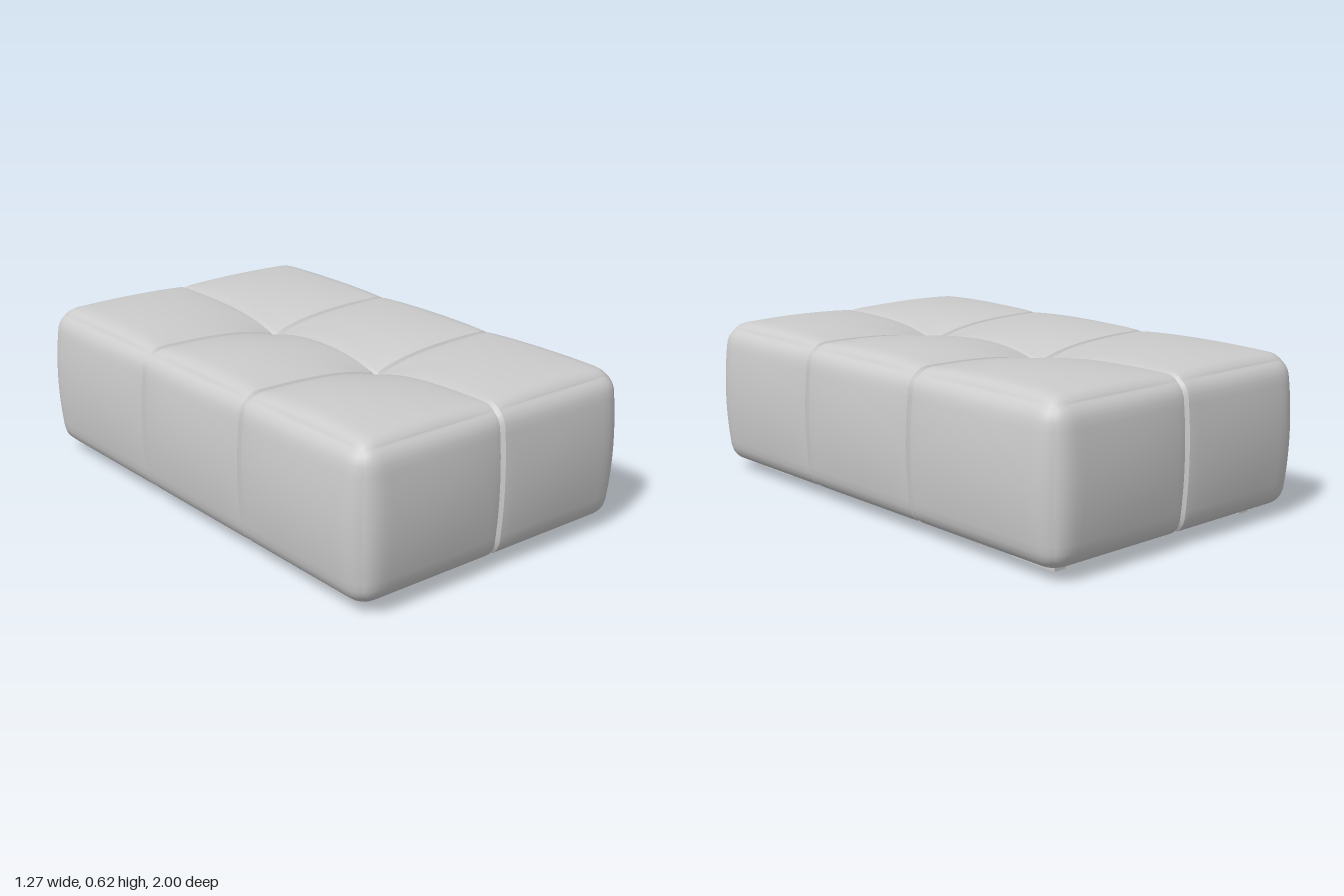
import * as THREE from 'three';
import { mergeVertices, toCreasedNormals } from 'three/addons/utils/BufferGeometryUtils.js';

const STEPS = 22;                       // grid steps per panel
const X = [-0.6, 0, 0.6];               // panel borders across
const Y = [0.03, 0.6];                  // underside and top
const Z = [-0.965, -0.267, 0.343, 0.965]; // panel borders along the length
const R = 0.07;                         // edge rounding
const FLOOR = 0.05;                     // level of the flat underside

// Grid coordinate that crowds its samples towards every panel border
function gridCoord(index, stops) {
  const panel = Math.min(Math.floor(index / STEPS), stops.length - 2);
  const t = (1 - Math.cos(Math.PI * (index / STEPS - panel))) / 2;
  return THREE.MathUtils.lerp(stops[panel], stops[panel + 1], t);
}

// Pillow curve: 0 on the panel borders, 1 in the middle
function pillow(v, stops, power = 1) {
  let i = 0;
  while (i < stops.length - 2 && v > stops[i + 1]) i++;
  const s = (2 * (v - stops[i])) / (stops[i + 1] - stops[i]) - 1;
  return Math.pow(Math.max(0, 1 - s * s), power);
}

// Narrow stitched crease around the inner borders
const crease = (v, stops) =>
  stops.slice(1, -1).reduce((sum, s) => sum + Math.exp(-(((v - s) / 0.007) ** 2)), 0);

function cushionGeometry() {
  const n = [X, Y, Z].map((stops) => (stops.length - 1) * STEPS);
  const geo = new THREE.BoxGeometry(...n, ...n);
  const pos = geo.attributes.position;
  const p = new THREE.Vector3(), core = new THREE.Vector3(), dir = new THREE.Vector3();
  const lo = new THREE.Vector3(X[0] + R, Y[0] + R, Z[0] + R);
  const hi = new THREE.Vector3(X[2] - R, Y[1] - R, Z[3] - R);

  for (let i = 0; i < pos.count; i++) {
    p.set(
      gridCoord(Math.round(pos.getX(i) + n[0] / 2), X),
      gridCoord(Math.round(pos.getY(i) + n[1] / 2), Y),
      gridCoord(Math.round(pos.getZ(i) + n[2] / 2), Z)
    );
    const fx = pillow(p.x, X, 0.7), fy = pillow(p.y, Y), fz = pillow(p.z, Z, 0.7);
    const slit = 0.014 * Math.min(1, crease(p.x, X) + crease(p.z, Z));

    // rounded block
    core.copy(p).clamp(lo, hi);
    dir.copy(p).sub(core).normalize();
    const out = core.clone().addScaledVector(dir, R - slit);

    // bulging sides and crowned top
    out.x += dir.x * fy * (0.024 + 0.011 * fz);
    out.z += dir.z * fy * (0.021 + 0.014 * fx);
    if (dir.y > 0) {
      out.y += dir.y * 0.026 * fx * fz;
      // tufts pulled down where the seams cross
      for (const z of Z.slice(1, -1)) {
        out.y -= dir.y * 0.06 * Math.exp(-Math.hypot(p.x, p.z - z) / 0.15);
      }
    }
    out.y = Math.max(out.y, FLOOR);
    pos.setXYZ(i, out.x, out.y, out.z);
  }
  geo.deleteAttribute('uv');
  geo.deleteAttribute('normal');
  return toCreasedNormals(mergeVertices(geo, 1e-5), 0.6);
}

export function createModel() {
  const group = new THREE.Group();
  group.name = 'tuftedOttoman';
  const material = new THREE.MeshStandardMaterial({ color: 0xcccccc });

  const cushion = new THREE.Mesh(cushionGeometry(), material);
  cushion.name = 'cushion';
  group.add(cushion);

  // four low block feet
  const footGeo = new THREE.BoxGeometry(0.05, 0.06, 0.212);
  for (const [side, x] of [['Left', 0.465], ['Right', -0.479]]) {
    for (const [end, z] of [['front', 0.761], ['back', -0.752]]) {
      const foot = new THREE.Mesh(footGeo, material);
      foot.name = `${end}${side}Foot`;
      foot.position.set(x, 0.03, z);
      group.add(foot);
    }
  }
  return group;
}
